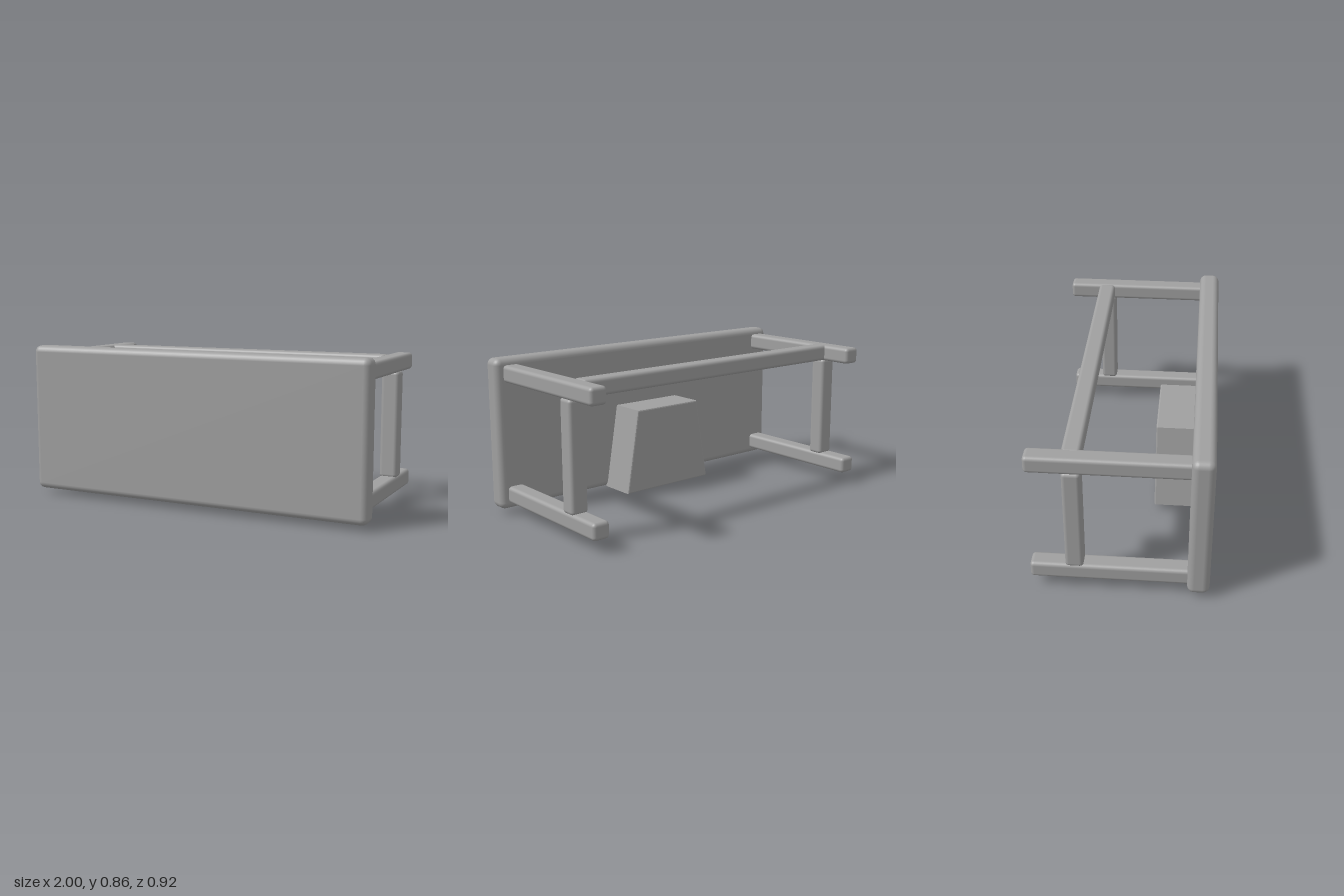
import * as THREE from 'three';
import { RoundedBoxGeometry } from 'three/addons/geometries/RoundedBoxGeometry.js';

const grey = new THREE.MeshStandardMaterial({ color: 0xa0a0a0 });
grey.name = 'plain grey';
const greyThin = new THREE.MeshStandardMaterial({ color: 0xa0a0a0, side: THREE.DoubleSide });
greyThin.name = 'plain grey thin';

// Rounded bar given by its min and max corners
function bar(name, min, max, radius) {
  const s = max.map((v, i) => v - min[i]);
  const mesh = new THREE.Mesh(new RoundedBoxGeometry(s[0], s[1], s[2], 3, radius), grey);
  mesh.position.set(...max.map((v, i) => (v + min[i]) / 2));
  mesh.name = name;
  return mesh;
}

// Tapered drawer box: narrow at the top, wide at the bottom
function drawerBox() {
  const shape = new THREE.Shape();
  shape.moveTo(-0.3, 0.03);
  shape.lineTo(0.3, 0.03);
  shape.lineTo(0.22, 0.51);
  shape.lineTo(-0.22, 0.51);
  shape.closePath();
  const b = 0.008;
  const geo = new THREE.ExtrudeGeometry(shape, {
    depth: 0.21 - b, bevelEnabled: true, bevelSize: b, bevelThickness: b, bevelOffset: -b, bevelSegments: 2,
  });
  geo.translate(0, 0, 0.14 + b);
  const mesh = new THREE.Mesh(geo, grey);
  mesh.name = 'drawer';
  return mesh;
}

// Cup-shaped pull: a curved shell from a base arc to a lowered lip
function cupPull() {
  const n = 16, rows = 4, pos = [], idx = [];
  for (let j = 0; j <= rows; j++) {
    const t = j / rows;
    for (let i = 0; i <= n; i++) {
      const a = (i / n) * Math.PI, s = Math.sin(a);
      const drop = 0.03 * s * Math.sin(t * Math.PI / 2);
      pos.push(-0.075 * Math.cos(a), 0.03 - drop, 0.25 + s * (0.08 - 0.07 * t));
      if (i < n && j < rows) {
        const p = j * (n + 1) + i, q = p + n + 1;
        idx.push(p, q, p + 1, p + 1, q, q + 1);
      }
    }
  }
  const geo = new THREE.BufferGeometry();
  geo.setAttribute('position', new THREE.Float32BufferAttribute(pos, 3));
  geo.setIndex(idx);
  geo.computeVertexNormals();
  const mesh = new THREE.Mesh(geo, greyThin);
  mesh.name = 'drawerPull';
  return mesh;
}

export function createModel() {
  const group = new THREE.Group();
  group.name = 'deskOnItsSide';

  // Table top, standing on edge
  group.add(bar('tableTop', [-1, 0.03, 0.345], [1, 0.86, 0.46], 0.036));

  // Two legs and a side stretcher at each end
  for (const [side, x] of [['right', -0.918], ['left', 0.907]]) {
    const x0 = x - 0.049, x1 = x + 0.049;
    group.add(bar(side + 'UpperLeg', [x0, 0.733, -0.457], [x1, 0.825, 0.37], 0.02));
    group.add(bar(side + 'LowerLeg', [x0, 0.065, -0.457], [x1, 0.157, 0.37], 0.02));
    group.add(bar(side + 'Stretcher', [x0, 0.147, -0.276], [x1, 0.74, -0.182], 0.02));
  }

  // Long rail between the upper legs
  group.add(bar('longRail', [-0.9, 0.735, -0.282], [0.873, 0.826, -0.186], 0.02));

  group.add(drawerBox(), cupPull());
  return group;
}
